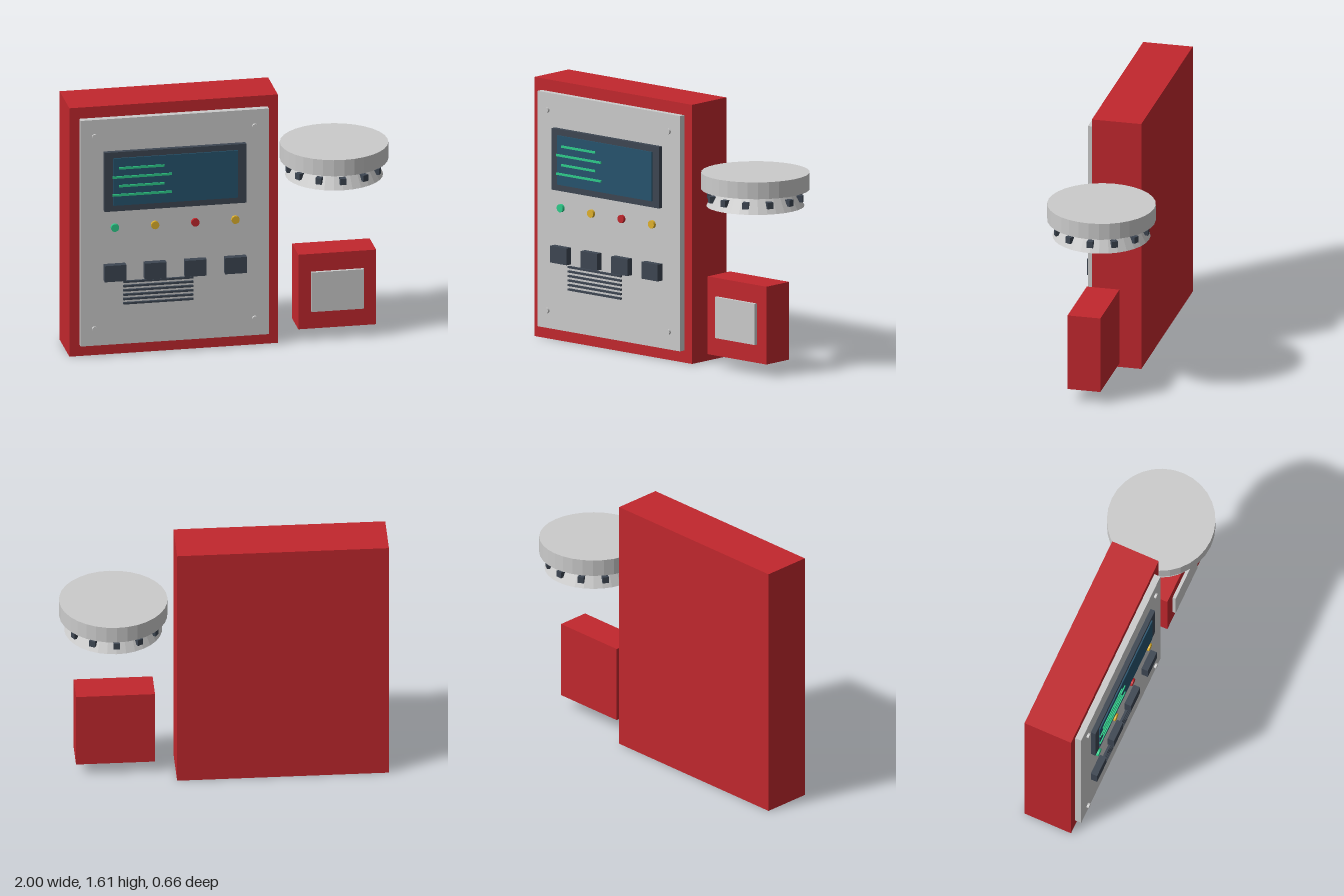
import * as THREE from 'three';

const paint = (color, flat = false) => new THREE.MeshStandardMaterial({ color, flatShading: flat });

export function createModel() {
  const model = new THREE.Group();
  const red = paint(0xc1272d), grey = paint(0xcccccc), greyFacets = paint(0xcccccc, true);
  const dark = paint(0x3d4652), glass = paint(0x26536d);
  const green = paint(0x2ecc8a), yellow = paint(0xdfb12c);

  const add = (name, geometry, material, x, y, z, parent = model) => {
    const mesh = new THREE.Mesh(geometry, material);
    mesh.name = name;
    mesh.position.set(x, y, z);
    parent.add(mesh);
    return mesh;
  };
  // Box given by its limits on each axis
  const block = (name, material, [x0, x1], [y0, y1], [z0, z1]) =>
    add(name, new THREE.BoxGeometry(x1 - x0, y1 - y0, z1 - z0), material,
      (x0 + x1) / 2, (y0 + y1) / 2, (z0 + z1) / 2);
  // Short round stud facing forward
  const stud = (name, material, radius, x, y, z0, z1) => {
    const geometry = new THREE.CylinderGeometry(radius, radius, z1 - z0, 16).rotateX(Math.PI / 2);
    return add(name, geometry, material, x, y, (z0 + z1) / 2);
  };

  // Cabinet and front panel
  block('cabinet', red, [-1, 0.29], [0, 1.605], [-0.155, 0.155]);
  block('frontPanel', grey, [-0.938, 0.227], [0.075, 1.533], [0.15, 0.195]);
  for (const x of [-0.853, 0.139])
    for (const y of [0.185, 1.427]) stud('panelScrew', grey, 0.017, x, y, 0.199, 0.213);

  // Display with lines of green trace
  block('screenBezel', dark, [-0.796, 0.081], [0.945, 1.326], [0.19, 0.225]);
  block('screen', glass, [-0.743, 0.028], [0.984, 1.289], [0.22, 0.233]);
  for (let i = 0; i < 4; i++) {
    const y = 1.225 - i * 0.0575;
    const span = i % 2 ? [-0.748, -0.382] : [-0.708, -0.428];
    block('screenLine', green, span, [y - 0.007, y + 0.007], [0.23, 0.239]);
  }

  // Indicator lamps with a square button below each
  [green, yellow, red, yellow].forEach((lampPaint, i) => {
    const x = -0.73 + i * 0.2485;
    stud('indicatorLamp', lampPaint, 0.025, x, 0.837, 0.207, 0.225);
    block('button', dark, [x - 0.067, x + 0.067], [0.495, 0.599], [0.195, 0.237]);
  });

  // Vent slats
  for (let i = 0; i < 6; i++) {
    const y = 0.479 - i * 0.0278;
    block('ventSlat', dark, [-0.676, -0.243], [y - 0.006, y + 0.006], [0.198, 0.212]);
  }

  // Small side box with its cover plate
  block('sideBox', red, [0.417, 0.898], [0.078, 0.56], [-0.05, 0.155]);
  block('sideBoxPlate', grey, [0.495, 0.82], [0.191, 0.446], [0.15, 0.175]);

  // Round detector with a ring of small sensor blocks
  const detector = new THREE.Group();
  detector.name = 'detector';
  detector.position.x = 0.668;
  model.add(detector);
  add('detectorBase', new THREE.CylinderGeometry(0.33, 0.33, 0.104, 32), greyFacets, 0, 1.166, 0, detector);
  add('detectorHead', new THREE.CylinderGeometry(0.24, 0.298, 0.106, 32), greyFacets, 0, 1.063, 0, detector);
  for (let i = 0; i < 12; i++) {
    const a = (i / 12) * Math.PI * 2;
    const sensor = add('detectorSensor', new THREE.BoxGeometry(0.038, 0.04, 0.038), dark,
      Math.sin(a) * 0.277, 1.063, Math.cos(a) * 0.277, detector);
    sensor.rotation.y = a;
  }
  return model;
}
